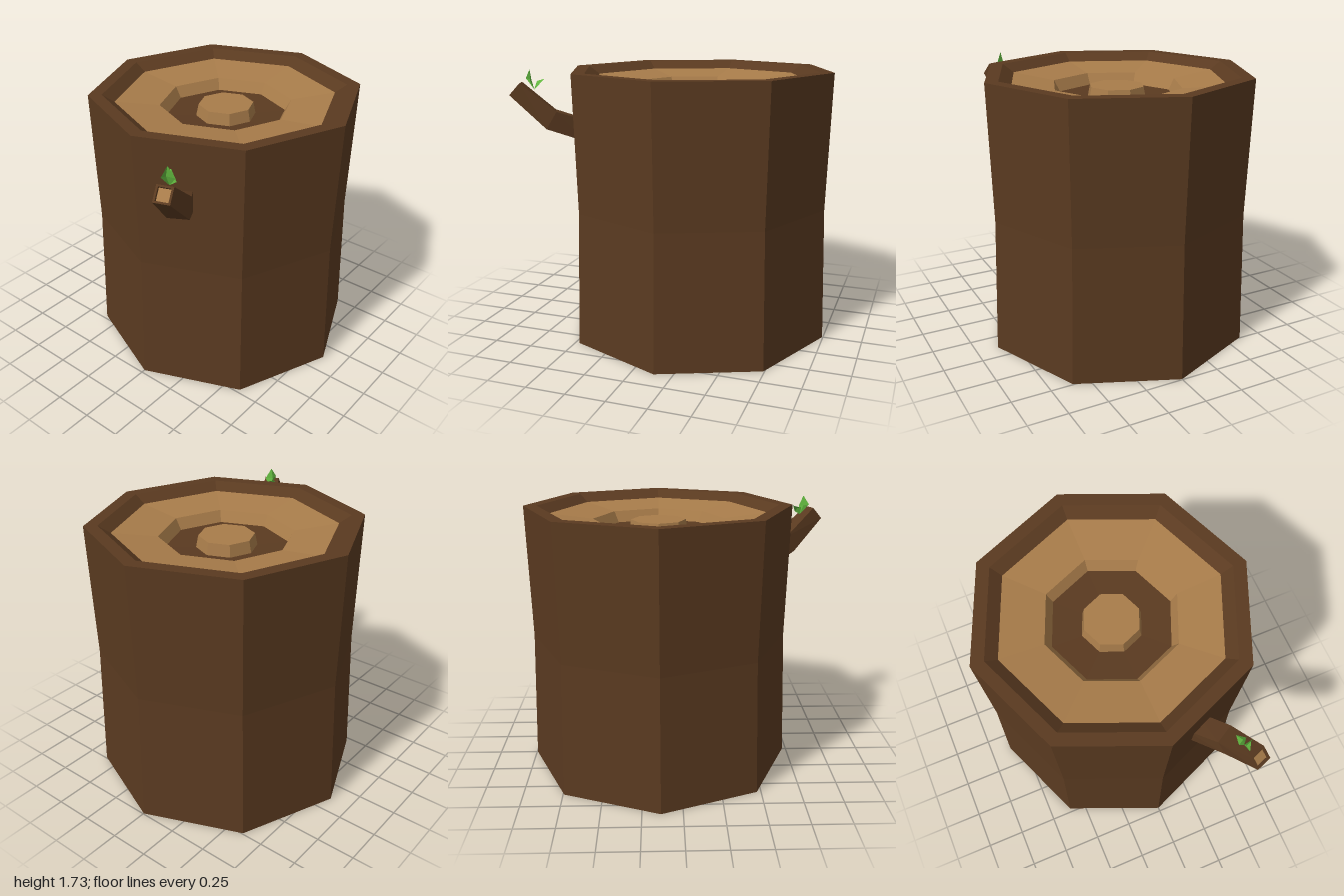
import * as THREE from 'three';

const HEIGHT = 1.725;
const mat = (color) => new THREE.MeshStandardMaterial({ color, flatShading: true, side: THREE.DoubleSide });

function addMesh(parent, name, geometry, material) {
  const mesh = new THREE.Mesh(geometry, material);
  mesh.name = name;
  parent.add(mesh);
}

// Eight-sided turned part
function turned(profile) {
  return new THREE.LatheGeometry(profile.map(([r, y]) => new THREE.Vector2(r, y)), 8);
}

// Triangles given as lists of Vector3 corners
function faces(points) {
  const g = new THREE.BufferGeometry().setFromPoints(points);
  g.computeVertexNormals();
  return g;
}

const quad = (a, b, c, d) => [a, b, c, a, c, d];

// Square cross-section around a centre, perpendicular to a direction
function square(centre, dir, half) {
  const d = dir.clone().normalize();
  const side = new THREE.Vector3(0, 1, 0).cross(d).normalize();
  const up = d.clone().cross(side);
  return [[-1, -1], [1, -1], [1, 1], [-1, 1]].map(([s, u]) =>
    centre.clone().addScaledVector(side, s * half).addScaledVector(up, u * half));
}

// Side walls between successive cross-sections
function skin(rings) {
  const out = [];
  for (let i = 0; i + 1 < rings.length; i++) {
    for (let k = 0; k < 4; k++) {
      const n = (k + 1) % 4;
      out.push(...quad(rings[i][k], rings[i][n], rings[i + 1][n], rings[i + 1][k]));
    }
  }
  return out;
}

export function createModel() {
  const model = new THREE.Group();
  model.name = 'treeStump';
  const bark = mat(0x5a3a20);
  const wood = mat(0xa87c4a);
  const leaf = mat(0x62b83f);

  // Trunk with a narrow waist and bevelled rims
  const trunk = new THREE.Group();
  trunk.name = 'trunk';
  trunk.position.x = 0.135;
  model.add(trunk);
  addMesh(trunk, 'bark', turned([
    [0.70, 0.05], [0.775, 0], [0.86, 0], [0.835, HEIGHT / 2],
    [0.86, HEIGHT], [0.775, HEIGHT], [0.70, HEIGHT - 0.05],
  ]), bark);

  // Growth rings on both cut ends, as depth below the rim
  const rings = [
    ['outerRing', wood, [[0.70, 0.05], [0.42, 0.085], [0.38, 0.155]]],
    ['darkRing', bark, [[0.38, 0.155], [0.19, 0.165]]],
    ['heartwood', wood, [[0.19, 0.165], [0.175, 0.09], [0, 0.09]]],
  ];
  for (const [name, material, profile] of rings) {
    addMesh(trunk, name + 'Top', turned(profile.map(([r, d]) => [r, HEIGHT - d])), material);
    addMesh(trunk, name + 'Bottom', turned(profile.slice().reverse()), material);
  }

  // Bent side branch with a recessed cut end
  const branch = new THREE.Group();
  branch.name = 'branch';
  model.add(branch);
  const start = new THREE.Vector3(-0.56, 1.325, 0.225);
  const bend = new THREE.Vector3(-0.745, 1.41, 0.365);
  const tip = new THREE.Vector3(-0.95, 1.607, 0.44);
  const dirA = bend.clone().sub(start).normalize();
  const dirB = tip.clone().sub(bend).normalize();
  const cutCentre = tip.clone().addScaledVector(dirB, -0.012);
  const cut = square(cutCentre, dirB, 0.036);
  addMesh(branch, 'branchBark', faces(skin([
    square(start, dirA, 0.066),
    square(bend, dirA.clone().add(dirB), 0.064),
    square(tip, dirB, 0.05),
    square(tip, dirB, 0.038),
    cut,
  ])), bark);
  addMesh(branch, 'branchCut', faces(quad(...cut)), wood);

  // Two folded leaves: base, one side, tip, other side, crease
  const base = [-0.845, 1.60, 0.39];
  const leaves = [
    [base, [-0.905, 1.668, 0.385], [-0.867, 1.727, 0.40], [-0.845, 1.655, 0.435], [-0.865, 1.66, 0.385]],
    [base, [-0.845, 1.65, 0.35], [-0.79, 1.665, 0.355], [-0.815, 1.615, 0.415], [-0.825, 1.645, 0.385]],
  ];
  for (const corners of leaves) {
    const [b, l, t, r, c] = corners.map((p) => new THREE.Vector3(...p));
    addMesh(branch, 'leaf', faces([b, c, l, c, t, l, b, r, c, c, r, t]), leaf);
  }
  return model;
}
